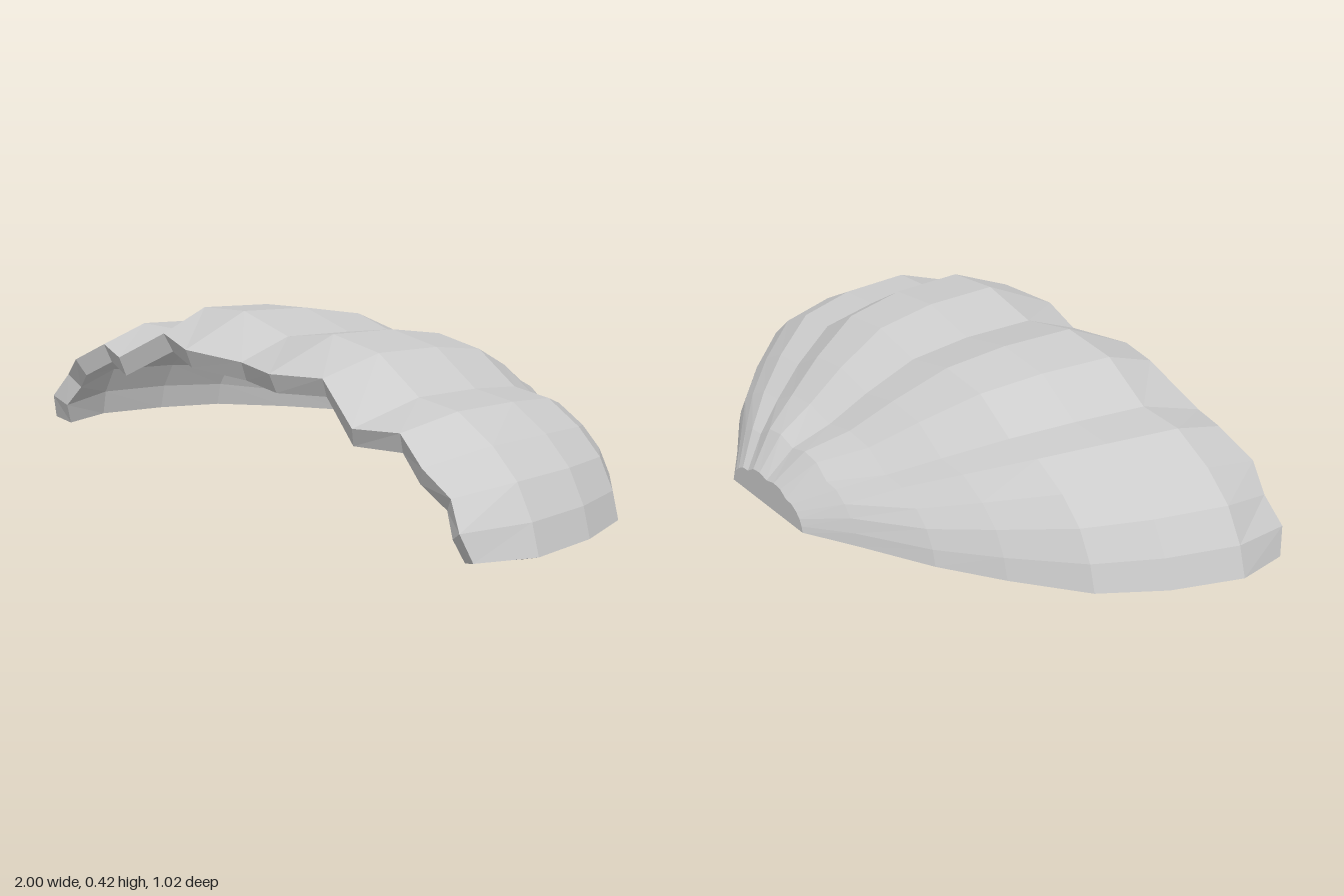
import * as THREE from 'three';

const THICKNESS = 0.055;
const BASE = 0.02;

// Half of the ribbed arch, from the middle to the side: [x, y]
const ARCH = [[0, 0.39], [0.2, 0.428], [0.39, 0.41], [0.55, 0.325], [0.7, 0.317],
  [0.83, 0.257], [0.92, 0.187], [0.975, 0.1], [1, BASE]];

// Half of the scalloped front lip: [x, y, z]
const LIP = [[0, 0.34, 0.46], [0.19, 0.348, 0.507], [0.36, 0.36, 0.465], [0.53, 0.27, 0.503],
  [0.67, 0.28, 0.465], [0.785, 0.22, 0.49], [0.865, 0.16, 0.468], [0.92, 0.09, 0.487], [0.945, BASE, 0.465]];

// Arches from front to back: [z, half width, peak height]
const RINGS = [[0.31, 1, 0.428], [0.11, 0.96, 0.415], [-0.06, 0.88, 0.381], [-0.205, 0.71, 0.305],
  [-0.318, 0.55, 0.233], [-0.43, 0.34, 0.183], [-0.51, 0.2, 0.1]];

// Mirrors a half section into a full one running from -x to +x
const mirror = (half) => [...half.slice(1).reverse().map(([x, y, z]) => [-x, y, z]), ...half];

function shellGeometry() {
  const rows = [mirror(LIP)];
  for (const [z, width, peak] of RINGS) {
    const rise = (peak - BASE) / (0.428 - BASE);
    rows.push(mirror(ARCH.map(([x, y]) => [x * width, BASE + (y - BASE) * rise, z])));
  }
  const n = rows[0].length;
  const last = rows.length - 1;
  const id = (i, j) => j * n + i;
  const hub = rows.length * n;
  const points = [...rows.flat(), [0, BASE, -0.51]];

  // Outer skin, with a fan closing the hinge end
  const faces = [];
  for (let j = 0; j < last; j++) {
    for (let i = 0; i < n - 1; i++) {
      const a = id(i, j), b = id(i + 1, j), c = id(i, j + 1), d = id(i + 1, j + 1);
      faces.push(a, b, c, b, d, c);
    }
  }
  for (let i = 0; i < n - 1; i++) faces.push(id(i, last), id(i + 1, last), hub);

  const outer = new THREE.BufferGeometry();
  outer.setAttribute('position', new THREE.Float32BufferAttribute(points.flat(), 3));
  outer.setIndex(faces);
  outer.computeVertexNormals();

  // Inner skin: every point pushed inward along its normal
  const normal = outer.attributes.normal;
  const inner = points.map(([x, y, z], k) => [
    x - normal.getX(k) * THICKNESS, y - normal.getY(k) * THICKNESS, z - normal.getZ(k) * THICKNESS]);
  const offset = points.length;
  const all = [...faces];
  for (let k = 0; k < faces.length; k += 3) {
    all.push(faces[k] + offset, faces[k + 2] + offset, faces[k + 1] + offset);
  }

  // Wall around the open edge
  const edge = [];
  for (let i = 0; i < n; i++) edge.push(id(i, 0));
  for (let j = 1; j <= last; j++) edge.push(id(n - 1, j));
  edge.push(hub);
  for (let j = last; j > 0; j--) edge.push(id(0, j));
  edge.forEach((p, k) => {
    const q = edge[(k + 1) % edge.length];
    all.push(q, p, p + offset, q, p + offset, q + offset);
  });

  const shell = new THREE.BufferGeometry();
  shell.setAttribute('position', new THREE.Float32BufferAttribute([...points, ...inner].flat(), 3));
  shell.setIndex(all);
  const flat = shell.toNonIndexed();
  flat.computeVertexNormals();
  flat.computeBoundingBox();
  flat.translate(0, -flat.boundingBox.min.y, 0);
  return flat;
}

export function createModel() {
  const group = new THREE.Group();
  group.name = 'scallopShell';
  const shell = new THREE.Mesh(shellGeometry(),
    new THREE.MeshStandardMaterial({ color: 0xcccccc, flatShading: true }));
  shell.name = 'ribbedShell';
  group.add(shell);
  return group;
}
